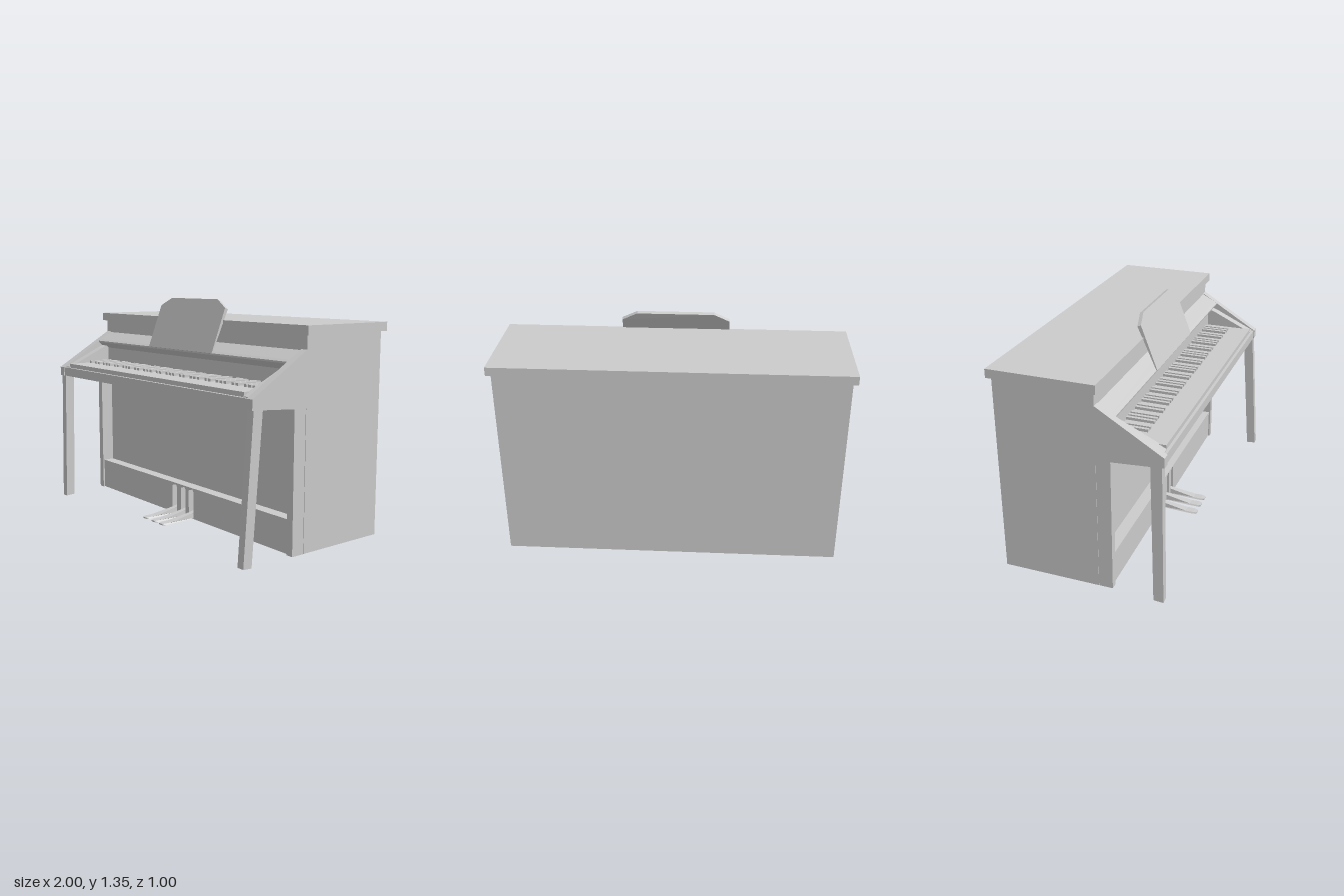
import * as THREE from 'three';

const material = new THREE.MeshStandardMaterial({ color: 0xcccccc, flatShading: true });

function add(parent, name, geometry) {
  const mesh = new THREE.Mesh(geometry, material);
  mesh.name = name;
  parent.add(mesh);
  return mesh;
}

// Box given by its limits on each axis
function box(x0, x1, y0, y1, z0, z1) {
  return new THREE.BoxGeometry(x1 - x0, y1 - y0, z1 - z0)
    .translate((x0 + x1) / 2, (y0 + y1) / 2, (z0 + z1) / 2);
}

const shapeOf = (points) => new THREE.Shape(points.map(([a, b]) => new THREE.Vector2(a, b)));

// Side profile of [z, y] points extruded across x, from x0 to x1
function profile(points, x0, x1) {
  return new THREE.ExtrudeGeometry(shapeOf(points), { depth: x1 - x0, bevelEnabled: false })
    .rotateY(-Math.PI / 2).translate(x1, 0, 0);
}

export function createModel() {
  const piano = new THREE.Group();
  piano.name = 'uprightPiano';

  // Cabinet and lid
  add(piano, 'cabinet', box(-0.975, 0.975, 0.02, 1.18, -0.48, 0.085));
  add(piano, 'lid', box(-1, 1, 1.18, 1.23, -0.5, 0.105));

  // Sloping side arms, posts, cheek blocks
  const arm = [[0.08, 0.8], [0.165, 0.805], [0.38, 0.82], [0.455, 0.825], [0.455, 0.88], [0.085, 1.105], [0.08, 1.105]];
  const cheek = [[0.14, 0.87], [0.435, 0.87], [0.435, 0.885], [0.19, 1.0], [0.14, 1.02]];
  for (const side of [-1, 1]) {
    const span = (a, b) => (side > 0 ? [a, b] : [-b, -a]);
    const label = side > 0 ? 'left' : 'right';
    add(piano, label + 'Arm', profile(arm, ...span(0.93, 0.975)));
    add(piano, label + 'Post', box(...span(0.93, 0.972), 0.018, 0.81, 0.08, 0.165));
    add(piano, label + 'CheekBlock', profile(cheek, ...span(0.875, 0.932)));
  }

  // Front legs: the left one slants further forward and is slightly shorter
  add(piano, 'leftLeg', profile([[0.385, 0.825], [0.45, 0.02], [0.505, 0.024], [0.445, 0.828]], 0.93, 0.975));
  add(piano, 'rightLeg', profile([[0.38, 0.825], [0.4, 0.004], [0.457, 0], [0.442, 0.828]], -0.975, -0.93));

  // Key bed with a sloping underside, and the shelf above the keys
  add(piano, 'keyBed', profile([[0.08, 0.8], [0.165, 0.805], [0.38, 0.82], [0.45, 0.825], [0.45, 0.88], [0.08, 0.88]], -0.932, 0.932));
  add(piano, 'shelf', profile([[0.08, 0.87], [0.14, 0.87], [0.14, 1.0], [0.18, 1.035], [0.182, 1.045], [0.165, 1.056], [0.085, 1.1], [0.08, 1.1]], -0.932, 0.932));

  // Keyboard: one slab of white keys, black keys in groups of two and three
  const keyboard = new THREE.Group();
  keyboard.name = 'keyboard';
  piano.add(keyboard);
  add(keyboard, 'whiteKeys', box(-0.885, 0.885, 0.875, 0.906, 0.13, 0.433));
  const pitch = 1.752 / 52;
  for (let i = 1; i < 52; i++) {
    // Counting white keys from A, no black key follows B or E
    if ([1, 4].includes((i - 1) % 7)) continue;
    const x = -0.876 + i * pitch;
    add(keyboard, 'blackKey', box(x - 0.01, x + 0.01, 0.9, 0.921, 0.14, 0.3));
  }

  // Music desk with clipped upper corners, leaning back
  const deskShape = shapeOf([[-0.315, 0], [0.315, 0], [0.315, 0.272], [0.225, 0.322], [-0.225, 0.322], [-0.315, 0.272]]);
  const desk = new THREE.ExtrudeGeometry(deskShape, { depth: 0.022, bevelEnabled: false }).translate(0, 0, -0.022);
  const p = desk.attributes.position;
  for (let i = 0; i < p.count; i++) {
    if (p.getY(i) < 0.01 && p.getZ(i) < -0.01) p.setZ(i, -0.006);
  }
  desk.computeVertexNormals();
  const musicDesk = add(piano, 'musicDesk', desk);
  musicDesk.rotation.x = -0.366;
  musicDesk.position.set(0, 1.045, 0.186);

  // Baseboard with a slot behind each pedal
  const pedalX = [-0.0925, -0.004, 0.077];
  const board = shapeOf([[-0.932, 0.02], [0.932, 0.02], [0.932, 0.21], [-0.932, 0.21]]);
  for (const x of pedalX) {
    board.holes.push(new THREE.Path([
      [-0.023, 0.024], [-0.023, 0.19], [-0.014, 0.203], [0.014, 0.203], [0.023, 0.19], [0.023, 0.024],
    ].map(([a, b]) => new THREE.Vector2(x + a, b))));
  }
  add(piano, 'baseboard', new THREE.ExtrudeGeometry(board, { depth: 0.072, bevelEnabled: false }).translate(0, 0, 0.083));

  // Pedals, widening toward the toe
  const pedal = profile([[0.084, 0.022], [0.3, 0.018], [0.36, 0.018], [0.38, 0.02], [0.38, 0.028], [0.36, 0.03], [0.31, 0.03], [0.165, 0.054], [0.084, 0.07]], -1, 1);
  const q = pedal.attributes.position;
  for (let i = 0; i < q.count; i++) {
    const z = q.getZ(i);
    const half = z > 0.37 ? 0.016 : z > 0.29 ? 0.023 : 0.015;
    q.setX(i, q.getX(i) * half);
  }
  pedal.computeVertexNormals();
  for (const x of pedalX) add(piano, 'pedal', pedal).position.x = x;

  return piano;
}
